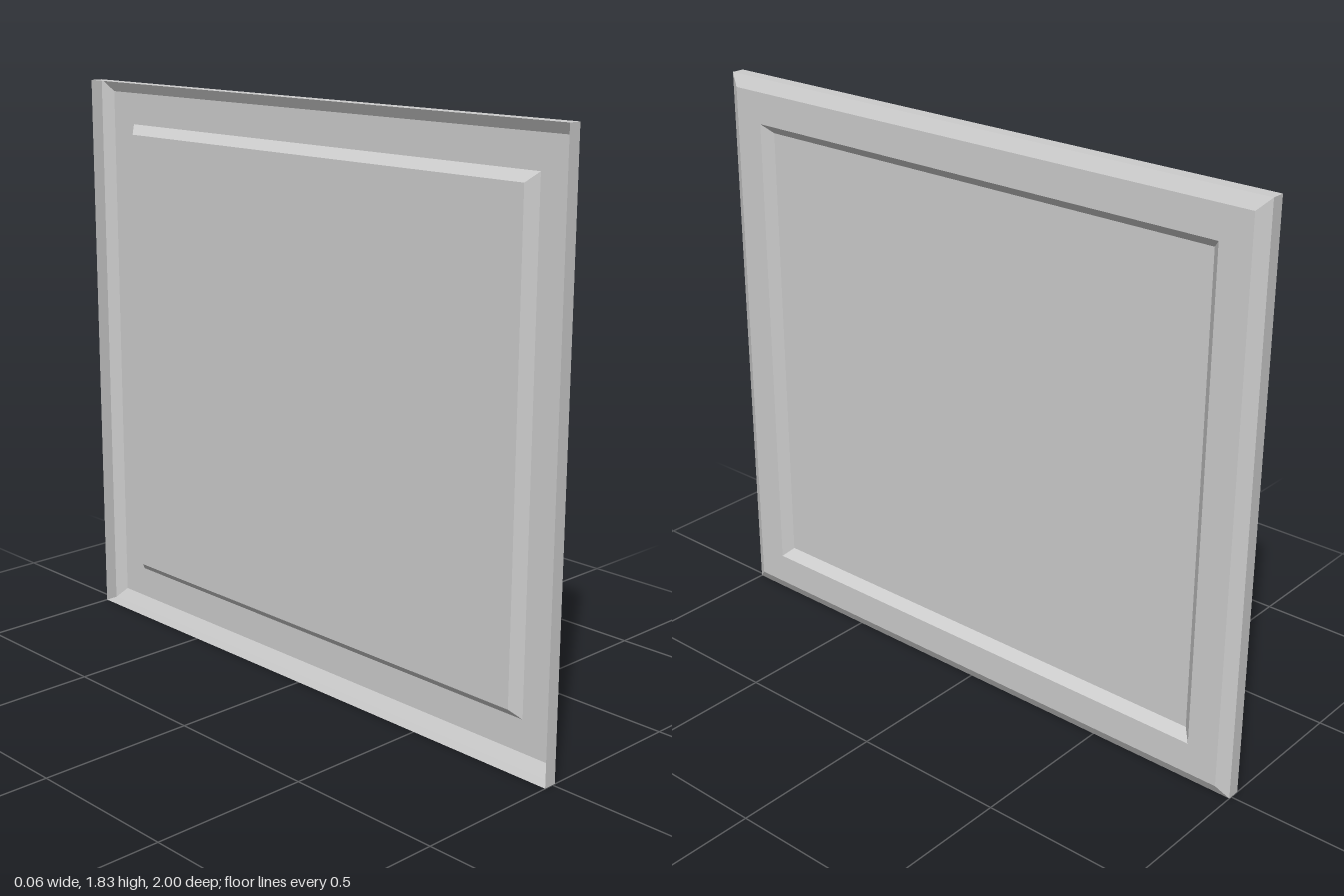
import * as THREE from 'three';

const HEIGHT = 1.83;

// Rectangular ring of corners: x position and inset from the outer edge
const ring = ([x, inset]) => {
  const z = 1 - inset, lo = inset, hi = HEIGHT - inset;
  return [[x, lo, z], [x, lo, -z], [x, hi, -z], [x, hi, z]];
};

const material = new THREE.MeshStandardMaterial({ color: 0xcccccc, flatShading: true, side: THREE.DoubleSide });

// Mesh from four-cornered faces, corners counter-clockwise seen from outside
function quadMesh(name, quads) {
  const positions = quads.flatMap(([a, b, c, d]) => [a, b, c, a, c, d].flat());
  const geometry = new THREE.BufferGeometry();
  geometry.setAttribute('position', new THREE.Float32BufferAttribute(positions, 3));
  geometry.computeVertexNormals();
  const mesh = new THREE.Mesh(geometry, material);
  mesh.name = name;
  return mesh;
}

// Mitred band of four faces joining two rings
function band(name, from, to) {
  const a = ring(from), b = ring(to);
  return quadMesh(name, a.map((p, i) => {
    const j = (i + 1) % 4;
    return [p, a[j], b[j], b[i]];
  }));
}

export function createModel() {
  const group = new THREE.Group();
  group.name = 'framedPanel';

  // Moulding profile from the open back edge to the recessed panel: [x, inset]
  const profile = [[-0.032, 0], [0.01, 0], [0.032, 0.038], [0.032, 0.14], [0.002, 0.17]];
  const names = ['rimWall', 'outerBevel', 'frameFace', 'innerBevel'];
  names.forEach((name, i) => group.add(band(name, profile[i], profile[i + 1])));

  // Flat panel closing the recess; the back of the shell stays open
  group.add(quadMesh('panel', [ring(profile[4])]));
  return group;
}
